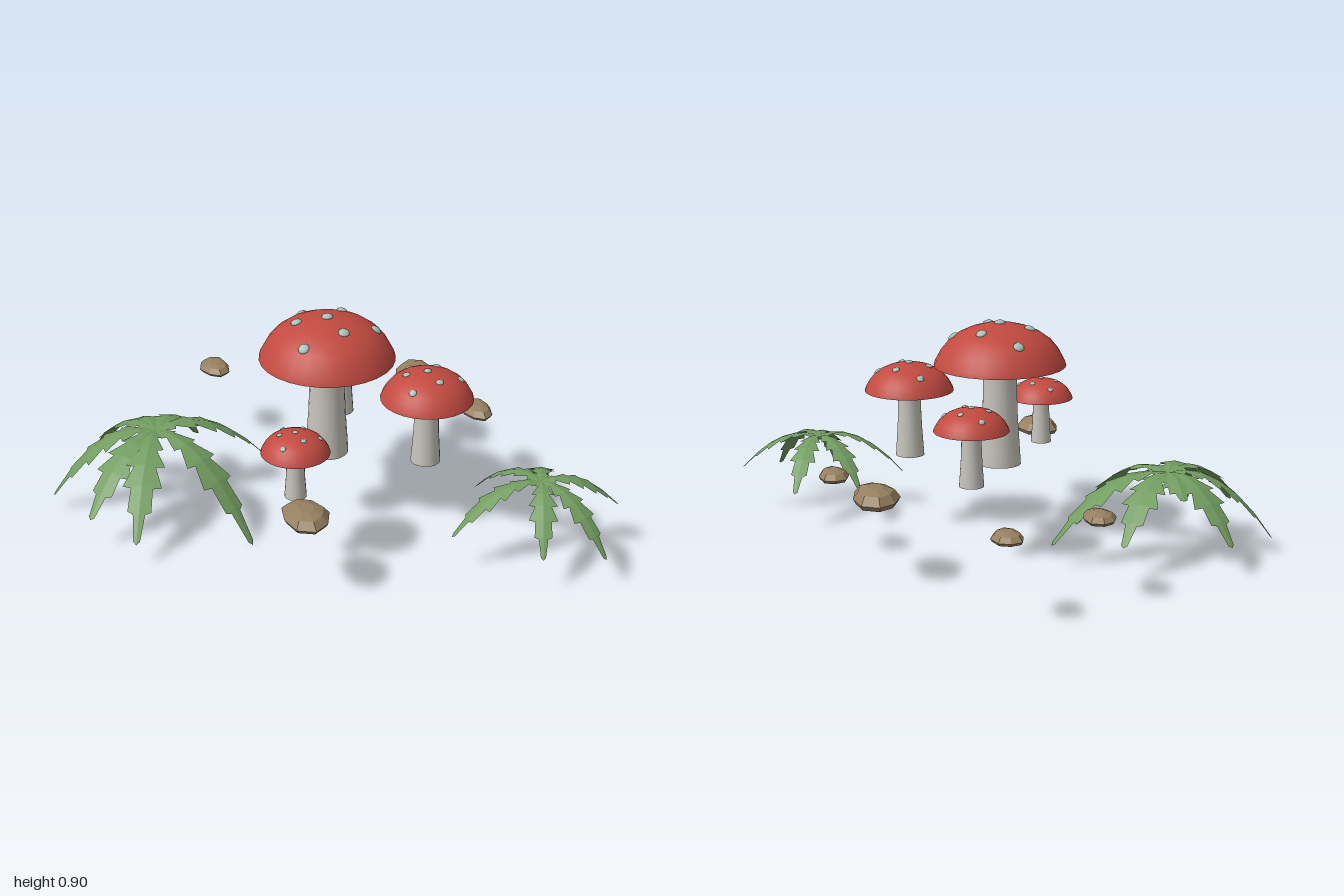
import * as THREE from 'three';

const mat = (name, color, extra = {}) => new THREE.MeshStandardMaterial({ name, color, ...extra });
const GROUND = 0.31;

// Cap outline as fractions of radius and height, from rim to crown
const CAP = [[1, 0], [0.975, 0.12], [0.89, 0.36], [0.78, 0.57], [0.63, 0.74], [0.45, 0.87], [0.24, 0.96], [0, 1]];
// Spot positions as fractions of cap radius
const SPOTS = [[0, 0], [-0.15, -0.7], [0.34, -0.32], [-0.43, -0.13], [0.68, 0.2], [0.1, 0.43], [-0.52, 0.47]];

const lathe = (points, segments) =>
  new THREE.LatheGeometry(points.map(([x, y]) => new THREE.Vector2(x, y)), segments);

function capHeight(r) {
  for (let i = 1; i < CAP.length; i++) {
    const [r0, h0] = CAP[i - 1], [r1, h1] = CAP[i];
    if (r >= r1) return { h: h0 + (h1 - h0) * (r - r0) / (r1 - r0), slope: (h1 - h0) / (r0 - r1) };
  }
}

export function createModel() {
  const red = mat('cap red', 0xc24a40);
  const cream = mat('stem grey', 0xc6c4bc);
  const pale = mat('spot pale green', 0xa9c0b8);
  const stone = mat('stone brown', 0x968060, { flatShading: true });
  const leaf = mat('leaf green', 0x729c60, { side: THREE.DoubleSide });

  const model = new THREE.Group();
  const add = (parent, name, geometry, material) => {
    const mesh = new THREE.Mesh(geometry, material);
    mesh.name = name;
    parent.add(mesh);
    return mesh;
  };

  // Mushroom: flared stem, domed cap with hollow underside, spots
  function mushroom(name, x, z, R, rimY, topY, stemR) {
    const group = new THREE.Group();
    group.name = name;
    group.position.set(x, GROUND, z);
    model.add(group);
    const rim = rimY - GROUND, H = topY - rimY;

    const stem = [[1, 0], [0.95, 0.15], [0.86, 0.4], [0.81, 0.65], [0.8, 0.85], [0.84, 1]]
      .map(([r, y]) => [r * stemR, y * (rim + H * 0.25)]);
    add(group, 'stem', lathe(stem, 20), cream);
    add(group, 'stemBase', lathe([[0, 0], [stemR, 0]], 20), cream);

    add(group, 'cap', lathe(CAP.map(([r, h]) => [r * R, rim + h * H]), 28), red);
    add(group, 'capUnderside', lathe([[0, 0.22], [0.5, 0.2], [0.93, 0.05], [1, 0]]
      .map(([r, h]) => [r * R, rim + h * H]), 28), red);

    for (const [sx, sz] of SPOTS) {
      const r = Math.hypot(sx, sz), { h, slope } = capHeight(r);
      const spot = add(group, 'spot', new THREE.SphereGeometry(R * 0.085, 10, 6), pale);
      spot.position.set(sx * R, rim + h * H, sz * R);
      const k = r ? slope * H / R / r : 0;
      spot.quaternion.setFromUnitVectors(new THREE.Vector3(0, 1, 0),
        new THREE.Vector3(sx * k, 1, sz * k).normalize());
      spot.scale.y = 0.5;
    }
  }
  mushroom('largeMushroom', 0.01, 0.115, 0.263, 0.715, 0.885, 0.084);
  mushroom('leftMushroom', 0.345, 0.315, 0.18, 0.58, 0.695, 0.058);
  mushroom('backMushroom', 0.178, -0.185, 0.147, 0.53, 0.622, 0.049);
  mushroom('rightMushroom', -0.22, 0.415, 0.131, 0.497, 0.58, 0.042);

  // Flattened, slightly irregular stones
  function rock(x, z, rx, rz, h, turn) {
    const g = lathe([[0, 0], [0.88, 0], [1, 0.3], [0.75, 0.78], [0.35, 1], [0, 1]], 8);
    const p = g.attributes.position;
    for (let i = 0; i < p.count; i++) {
      const a = Math.atan2(p.getX(i), p.getZ(i));
      const w = 1 + 0.06 * Math.sin(3 * a + turn);
      p.setXYZ(i, p.getX(i) * rx * w, p.getY(i) * h, p.getZ(i) * rz * w);
    }
    g.computeVertexNormals();
    add(model, 'rock', g, stone).position.set(x, GROUND, z);
  }
  rock(0.57, -0.335, 0.09, 0.135, 0.065, 0);
  rock(0.69, 0.015, 0.06, 0.088, 0.042, 1);
  rock(0.172, -0.88, 0.06, 0.083, 0.038, 2);
  rock(-0.202, -0.71, 0.062, 0.088, 0.038, 0.5);
  rock(-0.243, 0.6, 0.088, 0.12, 0.055, 3);

  // Arching frond with saw-toothed edges, folded along the midrib
  function frondGeometry(dx, dz, y0, tipY, width) {
    const L = Math.hypot(dx, dz), teeth = 6, rise = 0.28 * L;
    const nx = -dz / L, nz = dx / L;
    const stations = [];
    for (let k = 0; k < teeth; k++) {
      stations.push([k / teeth, 0.62], [(k + 0.88) / teeth, 1.1]);
    }
    stations.push([1, 0]);
    const envelope = t => width * Math.min(0.3 + 1.5 * t, 1, 0.12 + 2.6 * (1 - t));
    const pos = [], index = [];
    for (const side of [1, -1]) {
      const base = pos.length / 3;
      stations.forEach(([t, f], i) => {
        const y = y0 + rise * t - (y0 + rise - tipY) * t * t;
        const w = envelope(t) * f;
        pos.push(dx * t, y, dz * t);
        pos.push(dx * t + nx * w * side, y - w * 0.2, dz * t + nz * w * side);
        if (i) {
          const a = base + 2 * i - 2, b = a + 1, c = a + 2, d = a + 3;
          if (side > 0) index.push(a, b, c, b, d, c);
          else index.push(a, c, b, b, c, d);
        }
      });
    }
    // Keep the upper side as the front so normals point up
    for (let i = 0; i < index.length; i += 3) [index[i + 1], index[i + 2]] = [index[i + 2], index[i + 1]];
    const g = new THREE.BufferGeometry();
    g.setAttribute('position', new THREE.Float32BufferAttribute(pos, 3));
    g.setIndex(index);
    g.computeVertexNormals();
    return g;
  }

  // Fern: fronds listed by tip position x, y, z
  function fern(name, x, z, y0, width, tips) {
    const group = new THREE.Group();
    group.name = name;
    group.position.set(x, 0, z);
    model.add(group);
    for (const [tx, ty, tz] of tips) {
      add(group, 'frond', frondGeometry(tx - x, tz - z, y0, ty, width), leaf);
    }
  }
  fern('largeFern', -0.595, -0.22, 0.335, 0.07, [
    [-0.76, 0.12, -0.555], [-0.345, 0.13, -0.51], [-0.11, 0.09, -0.31], [-0.33, 0, 0.215],
    [-0.795, 0.09, 0.215], [-0.93, 0.13, 0.04], [-1, 0.065, -0.31], [-0.6, 0.28, -0.44],
  ]);
  fern('smallFern', 0.69, 0.64, 0.325, 0.05, [
    [0.33, 0.145, 0.635], [0.55, 0.16, 0.335], [0.815, 0.15, 0.365],
    [1, 0.19, 0.685], [0.825, 0.125, 0.945], [0.59, 0.14, 0.895],
  ]);

  return model;
}
